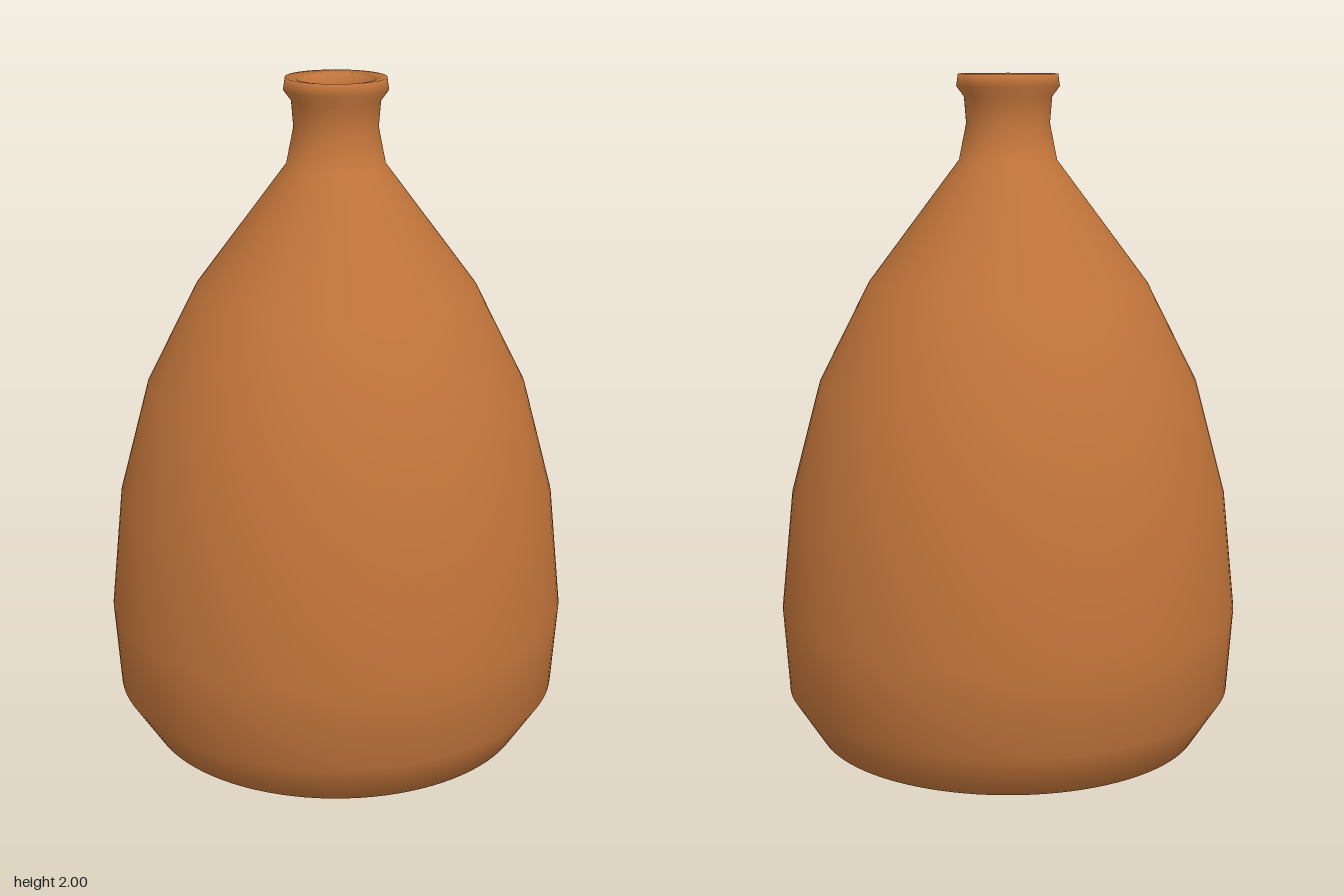
import * as THREE from 'three';

const SEGMENTS = 96;

function lathe(name, points, material) {
  const profile = points.map(([r, y]) => new THREE.Vector2(r, y));
  const mesh = new THREE.Mesh(new THREE.LatheGeometry(profile, SEGMENTS), material);
  mesh.name = name;
  return mesh;
}

export function createModel() {
  const group = new THREE.Group();
  group.name = 'bottle';
  const clay = new THREE.MeshStandardMaterial({ color: 0xc1743a });
  clay.name = 'terracotta';

  // Outer wall from the base centre up over the lip to the mouth
  group.add(lathe('outerWall', [
    [0, 0], [0.43, 0.005], [0.572, 0.04], [0.662, 0.18], [0.679, 0.43],
    [0.643, 0.78], [0.555, 1.11], [0.408, 1.4], [0.142, 1.755],
    [0.121, 1.86], [0.127, 1.935], [0.149, 1.965], [0.144, 2], [0.112, 1.995], [0.103, 1.96],
  ], clay));

  // Hollow inside, from the mouth down to the inner floor
  group.add(lathe('innerWall', [
    [0.103, 1.96], [0.102, 1.86], [0.112, 1.745], [0.38, 1.385], [0.525, 1.1],
    [0.613, 0.775], [0.645, 0.43], [0.63, 0.19], [0.55, 0.07], [0.42, 0.035], [0, 0.03],
  ], clay));

  return group;
}
